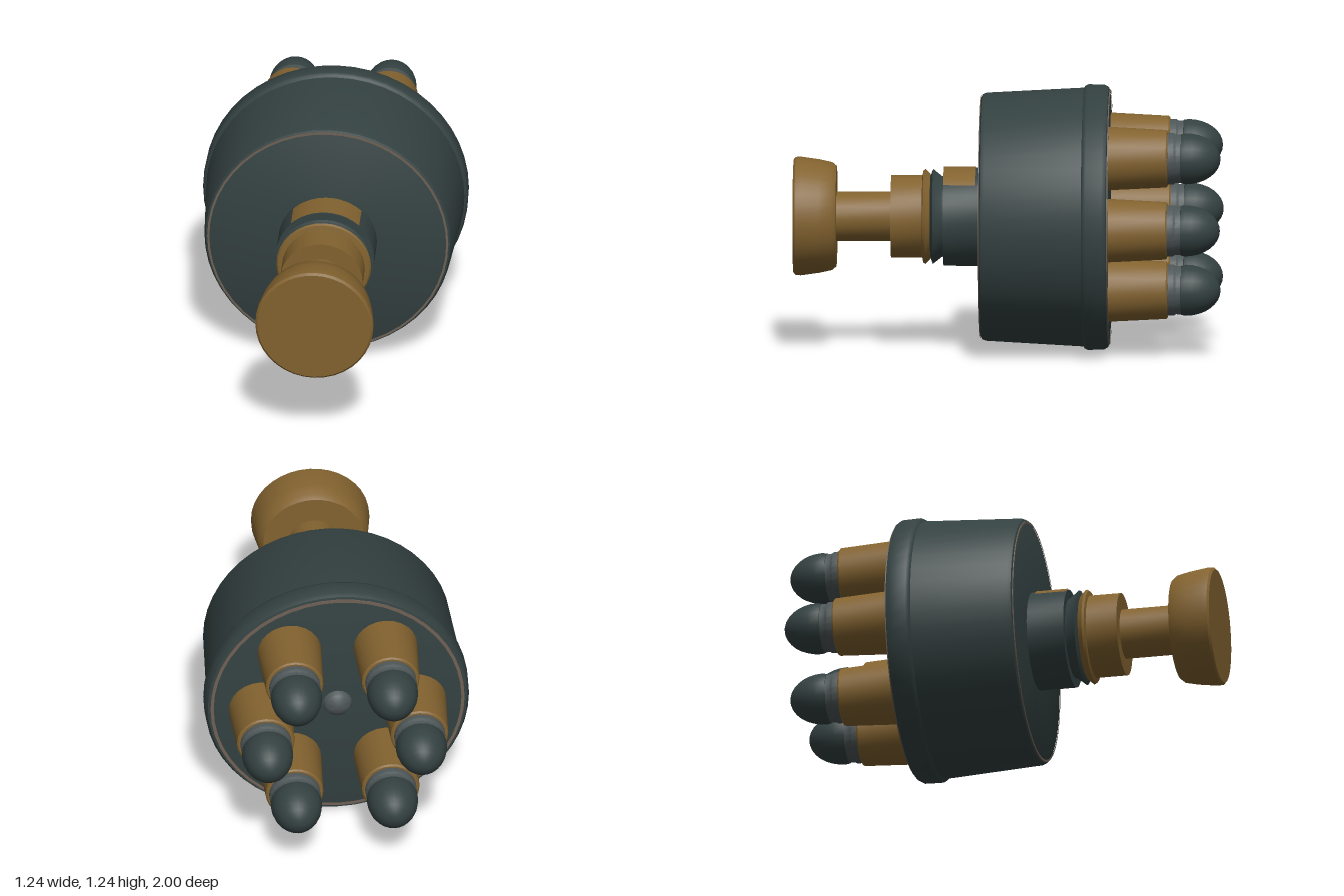
import * as THREE from 'three';
import { toCreasedNormals } from 'three/addons/utils/BufferGeometryUtils.js';

export function createModel() {
  const mat = (name, color) => {
    const m = new THREE.MeshStandardMaterial({ color });
    m.name = name;
    return m;
  };
  const gunmetal = mat('dark gunmetal', 0x344141);
  const brass = mat('aged brass', 0x82622f);
  const worn = mat('worn edge', 0x6e6055);
  const steel = mat('grey steel', 0x4e5657);

  const model = new THREE.Group();
  const axis = new THREE.Group();
  axis.name = 'loaderAxis';
  axis.position.y = 0.627;
  model.add(axis);

  // Turned part about the z axis; profile is [radius, z] from back to front
  const turned = (name, material, profile, segments = 32, parent = axis) => {
    let g = new THREE.LatheGeometry(profile.map(([r, z]) => new THREE.Vector2(r, z)), segments);
    g.rotateX(Math.PI / 2);
    g = toCreasedNormals(g, 0.65);
    const mesh = new THREE.Mesh(g, material);
    mesh.name = name;
    parent.add(mesh);
    return mesh;
  };

  // Drum with raised rear rim
  turned('drum', gunmetal, [
    [0, -0.475], [0.585, -0.475], [0.607, -0.47], [0.618, -0.45], [0.62, -0.375],
    [0.613, -0.36], [0.604, -0.355], [0.579, 0.1], [0.572, 0.118], [0.555, 0.126], [0, 0.126],
  ], 48);

  // Scuffed lines on the drum edges
  turned('frontEdgeWear', worn, [[0.564, 0.124], [0.564, 0.128], [0.554, 0.128]], 48);
  turned('rearEdgeWear', worn, [[0.58, -0.478], [0.595, -0.478], [0.595, -0.473]], 48);
  turned('hubCap', steel, [[0, -0.52], [0.03, -0.515], [0.058, -0.498], [0.07, -0.47]], 20);

  // Neck, collar and stepped stem
  turned('neck', gunmetal, [[0.23, 0.12], [0.23, 0.3], [0.185, 0.3]]);
  turned('collar', gunmetal, [[0.185, 0.295], [0.19, 0.31], [0.222, 0.35], [0.19, 0.362], [0, 0.362]]);
  turned('flange', brass, [[0, 0.36], [0.2, 0.362], [0.222, 0.385], [0.215, 0.395], [0.19, 0.4]]);
  turned('sleeve', brass, [[0.193, 0.395], [0.193, 0.545], [0, 0.545]]);
  turned('stem', brass, [[0.116, 0.54], [0.116, 0.81]], 24);
  turned('knob', brass, [
    [0, 0.8], [0.235, 0.8], [0.252, 0.82], [0.265, 0.88], [0.277, 0.965], [0.276, 0.99], [0.266, 1], [0, 1],
  ], 36);

  // Bare brass patch on top of the neck
  const patchGeo = new THREE.CylinderGeometry(0.234, 0.234, 0.15, 16, 1, true, Math.PI - 0.75, 1.5);
  patchGeo.rotateX(Math.PI / 2);
  const patch = new THREE.Mesh(patchGeo, brass);
  patch.name = 'neckPatch';
  patch.position.z = 0.225;
  axis.add(patch);

  // Six cartridges at the rear
  for (const [x, y] of [[0.36, -0.01], [0.225, 0.31], [-0.225, 0.31], [-0.36, -0.01], [-0.225, -0.31], [0.225, -0.31]]) {
    const cartridge = new THREE.Group();
    cartridge.name = 'cartridge';
    cartridge.position.set(x, y, 0);
    turned('case', brass, [[0, -0.752], [0.128, -0.752], [0.135, -0.745], [0.15, -0.46]], 24, cartridge);
    turned('caseMouth', steel, [[0.113, -0.82], [0.113, -0.79], [0.12, -0.78], [0.12, -0.745]], 24, cartridge);
    const tip = [];
    for (let i = 0; i <= 8; i++) {
      const a = (i / 8) * Math.PI / 2;
      tip.push([0.12 * Math.sin(a), -0.835 - 0.163 * Math.cos(a)]);
    }
    turned('bullet', gunmetal, [...tip, [0.116, -0.815], [0.1, -0.81]], 24, cartridge);
    axis.add(cartridge);
  }
  return model;
}
